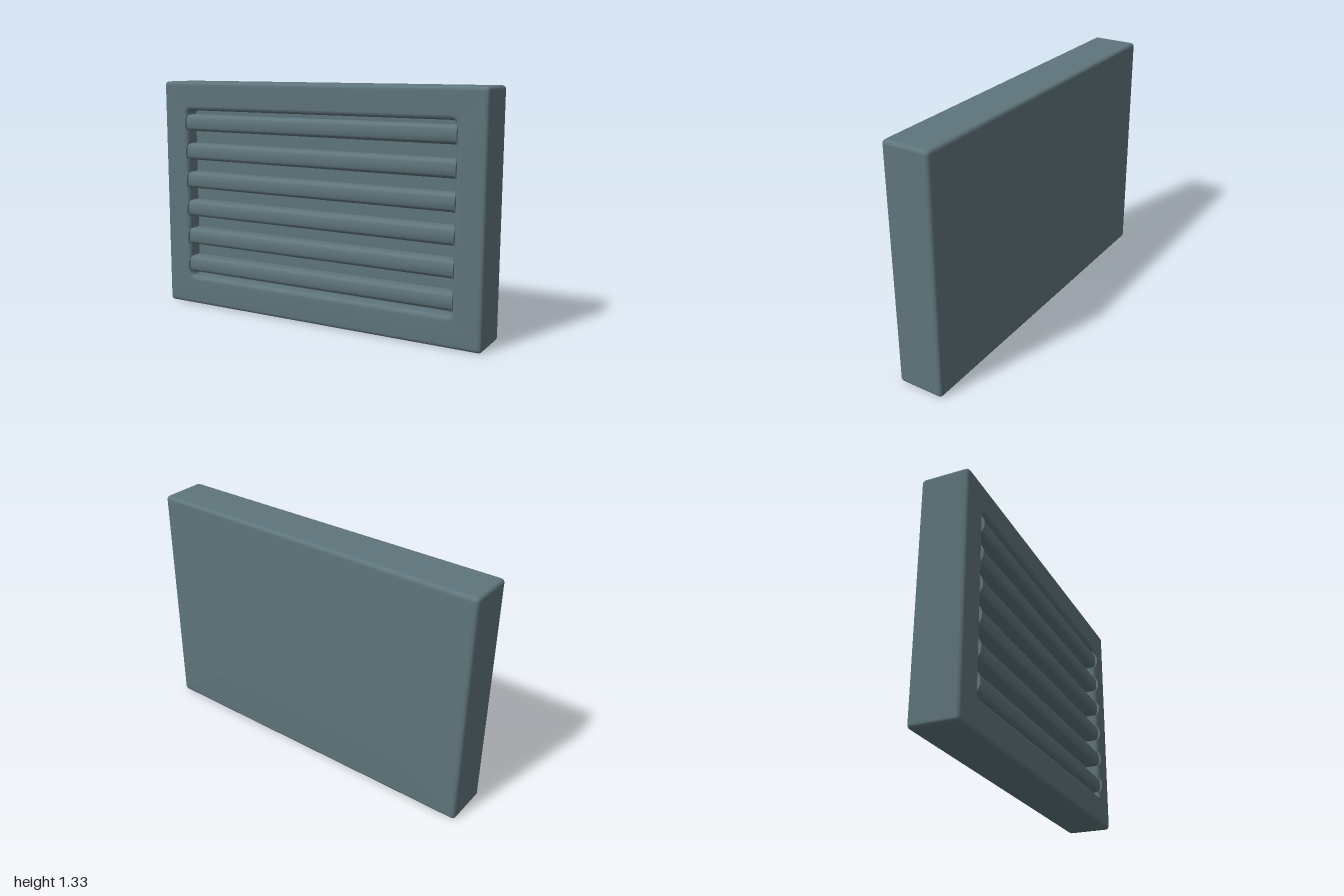
import * as THREE from 'three';
import { toCreasedNormals } from 'three/addons/utils/BufferGeometryUtils.js';

// One closed loop of a rounded rectangle, counter-clockwise seen from the front.
// A support point on each side of a corner keeps the straight sides flat.
function roundedLoop([w, h, r, z, y]) {
  const points = [], steps = 6, support = Math.min(0.004, w - r);
  for (let c = 0; c < 4; c++) {
    const sx = c === 0 || c === 3 ? 1 : -1, sy = c < 2 ? 1 : -1;
    for (let k = -1; k <= steps + 1; k++) {
      const a = (c + THREE.MathUtils.clamp(k / steps, 0, 1)) * Math.PI / 2;
      const shift = k < 0 ? -support : k > steps ? support : 0;
      points.push([
        sx * (w - r) + r * Math.cos(a) - shift * Math.sin(a),
        y + sy * (h - r) + r * Math.sin(a) + shift * Math.cos(a), z]);
    }
  }
  return points;
}

// Skin over successive loops
function loft(loops) {
  const n = loops[0].length, index = [];
  for (let j = 0; j < loops.length - 1; j++) {
    for (let i = 0; i < n; i++) {
      const a = j * n + i, b = j * n + (i + 1) % n;
      index.push(a, b, b + n, a, b + n, a + n);
    }
  }
  const geometry = new THREE.BufferGeometry();
  geometry.setAttribute('position', new THREE.Float32BufferAttribute(loops.flat(2), 3));
  geometry.setIndex(index);
  return toCreasedNormals(geometry, 0.35);
}

// Extrude a [z, y] section along x, centred
function extrudeAlongX(section, length) {
  const shape = new THREE.Shape(section.map(([z, y]) => new THREE.Vector2(-z, y)));
  const geometry = new THREE.ExtrudeGeometry(shape, { depth: length, bevelEnabled: false });
  return toCreasedNormals(geometry.translate(0, 0, -length / 2).rotateY(Math.PI / 2), 0.5);
}

export function createModel() {
  const group = new THREE.Group();
  group.name = 'ventGrille';
  const paint = new THREE.MeshStandardMaterial({ color: 0x5f757c });
  paint.name = 'slate grey';
  const add = (name, geometry, x = 0, y = 0) => {
    const mesh = new THREE.Mesh(geometry, paint);
    mesh.name = name;
    mesh.position.set(x, y, 0);
    group.add(mesh);
  };

  const W = 1, H = 0.667, MID = 0.667, BACK = -0.14, FRONT = 0.127;
  const R = 0.022, SEG = 6;
  const holeW = 0.832, holeH = 0.498, holeY = 0.67, lip = 0.025, floorZ = 0.045;
  const arc = (k) => [Math.sin(k / SEG * Math.PI / 2), Math.cos(k / SEG * Math.PI / 2)];

  // Housing: back panel, rounded outer edges, front face, rounded opening, recess floor
  const profile = [[0, 0, 0, BACK, MID], [W - R - 0.003, H - R - 0.003, 0.005, BACK, MID]];
  for (let k = 0; k <= SEG; k++) {
    const [s, c] = arc(k);
    profile.push([W - R + R * s, H - R + R * s, 0.006 + 0.014 * s, BACK + R - R * c, MID]);
  }
  profile.push([W, H, 0.02, BACK + R + 0.003, MID], [W, H, 0.02, FRONT - R - 0.003, MID]);
  for (let k = SEG; k >= 0; k--) {
    const [s, c] = arc(k);
    profile.push([W - R + R * s, H - R + R * s, 0.006 + 0.014 * s, FRONT - R + R * c, MID]);
  }
  profile.push([W - R - 0.003, H - R - 0.003, 0.005, FRONT, MID]);
  profile.push([holeW + lip + 0.003, holeH + lip + 0.003, 0.048, FRONT, holeY]);
  for (let k = 0; k <= SEG; k++) {
    const [s, c] = arc(k);
    const grow = lip - lip * s;
    profile.push([holeW + grow, holeH + grow, 0.02 + grow, FRONT - lip + lip * c, holeY]);
  }
  profile.push([holeW, holeH, 0.02, FRONT - lip - 0.003, holeY]);
  profile.push([holeW, holeH, 0.02, floorZ, holeY], [0, 0, 0, floorZ, holeY]);
  add('housing', loft(profile.map(roundedLoop)));

  // Slat: a level bar with a rounded front edge, flush with the frame
  const half = 0.048, nose = 0.028, section = [[0, half]];
  for (let k = 0; k <= 10; k++) {
    const a = Math.PI / 2 - k * Math.PI / 10;
    section.push([FRONT - nose + nose * Math.cos(a),
      (k < 5 ? 1 : k > 5 ? -1 : 0) * (half - nose) + nose * Math.sin(a)]);
  }
  section.push([0, -half]);
  const slat = extrudeAlongX(section, 1.686);

  // Thin raised lip at each end of a slat
  const endLip = extrudeAlongX(
    [[0.1, 0.046], [0.126, 0.046], [0.14, 0.018], [0.14, -0.018], [0.126, -0.046], [0.1, -0.046]], 0.006);

  for (let i = 0; i < 6; i++) {
    const y = 0.245 + i * 0.17;
    add('slat' + (i + 1), slat, 0, y);
    for (const side of [-1, 1]) add('slatEnd' + (i + 1) + (side > 0 ? 'Left' : 'Right'), endLip, side * 0.842, y);
  }
  return group;
}
